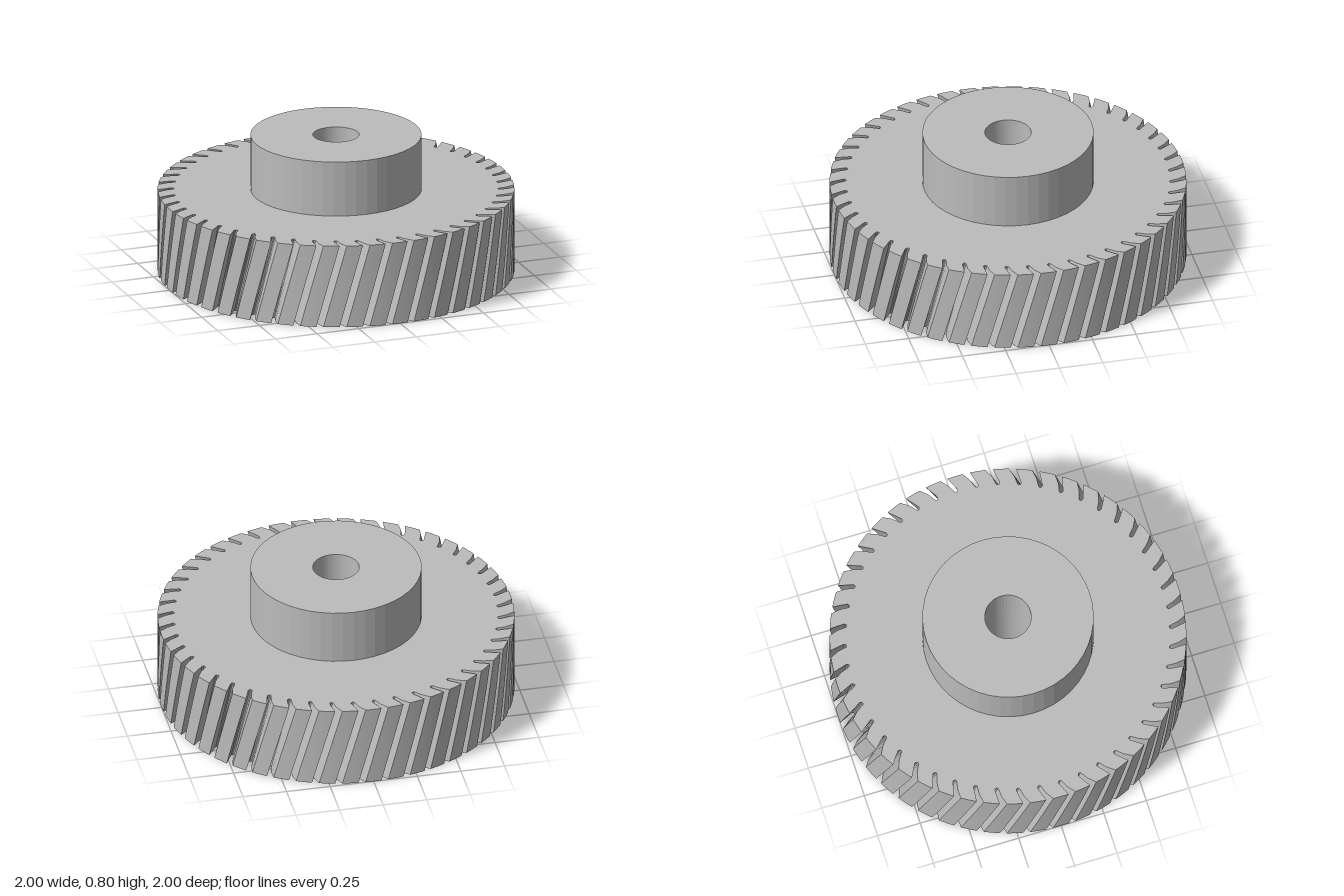
import * as THREE from 'three';
import { toCreasedNormals } from 'three/addons/utils/BufferGeometryUtils.js';

const TEETH = 48, PITCH = (Math.PI * 2) / TEETH;
const WHEEL_H = 0.48, TOP = 0.8, HUB_R = 0.48, BORE_R = 0.13;
const TWIST = PITCH; // the helix advances one tooth over the wheel height

// One leaning, round-bottomed slot followed by the tooth tip: [radius, angle]
const SLOT = [
  [1, -0.021], [0.955, -0.04], [0.92, -0.056], [0.91, -0.052], [0.906, -0.044],
  [0.909, -0.036], [0.92, -0.03], [0.955, -0.014], [1, 0.019],
  [1, 0.042], [1, 0.065], [1, 0.088],
];

function wheelGeometry() {
  const points = [];
  for (let i = 0; i < TEETH; i++) {
    for (const [r, a] of SLOT) {
      const t = (i + 0.5) * PITCH + a;
      points.push(new THREE.Vector2(r * Math.sin(t), -r * Math.cos(t)));
    }
  }
  const shape = new THREE.Shape(points);
  shape.holes.push(new THREE.Path().absarc(0, 0, BORE_R, 0, Math.PI * 2, true));
  const geo = new THREE.ExtrudeGeometry(shape, {
    depth: WHEEL_H, steps: 8, bevelEnabled: false, curveSegments: 24,
  });
  geo.rotateX(-Math.PI / 2);

  // Twist the outline progressively about the axle
  const pos = geo.attributes.position;
  const v = new THREE.Vector3(), up = new THREE.Vector3(0, 1, 0);
  for (let i = 0; i < pos.count; i++) {
    v.fromBufferAttribute(pos, i);
    if (Math.hypot(v.x, v.z) > 0.5) v.applyAxisAngle(up, (TWIST * v.y) / WHEEL_H);
    pos.setXYZ(i, v.x, v.y, v.z);
  }
  return toCreasedNormals(geo, 0.4);
}

function hubGeometry() {
  // Outer wall, top ring and bore, open underneath where it meets the wheel
  const profile = [[HUB_R, WHEEL_H], [HUB_R, TOP], [BORE_R, TOP], [BORE_R, WHEEL_H]];
  const geo = new THREE.LatheGeometry(profile.map(([x, y]) => new THREE.Vector2(x, y)), 48);
  return toCreasedNormals(geo, 0.05);
}

export function createModel() {
  const steel = new THREE.MeshStandardMaterial({ color: 0xbcbcbc });
  steel.name = 'steelGrey';

  const model = new THREE.Group();
  model.name = 'helicalGear';
  const add = (name, geometry) => {
    const mesh = new THREE.Mesh(geometry, steel);
    mesh.name = name;
    model.add(mesh);
  };
  add('toothedWheel', wheelGeometry());
  add('hub', hubGeometry());
  return model;
}
